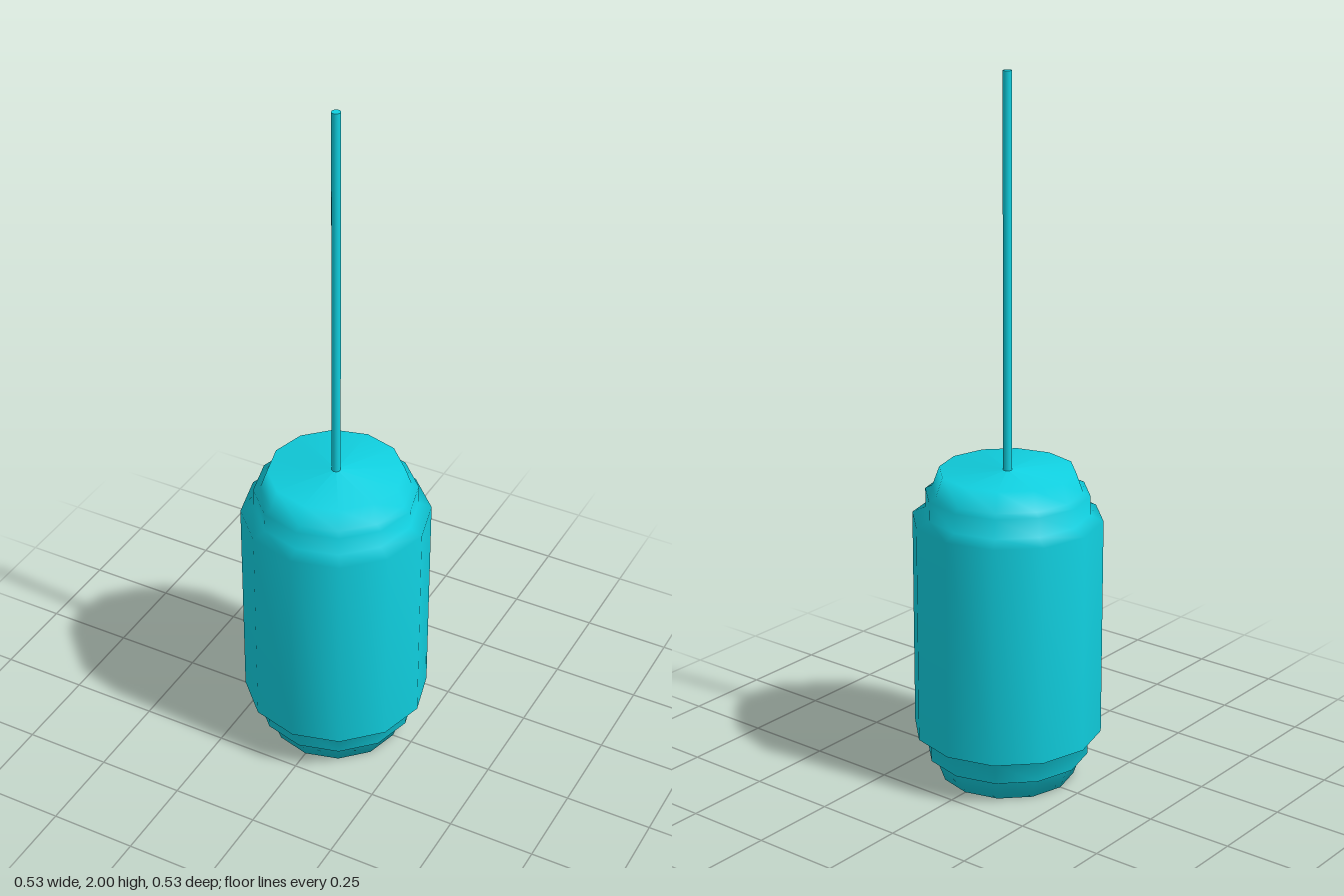
import * as THREE from 'three';

export function createModel() {
  const group = new THREE.Group();
  const material = new THREE.MeshStandardMaterial({ color: 0x10d0e0 });

  // Twelve-sided canister: stepped profile, the same at both ends
  const lower = [[0, 0], [0.19, 0], [0.21, 0.055], [0.23, 0.065], [0.23, 0.12], [0.267, 0.137]];
  const height = 0.905;
  const upper = lower.map(([r, y]) => [r, height - y]).reverse();
  const profile = [...lower, ...upper].map(([r, y]) => new THREE.Vector2(r, y));
  const bodyGeometry = new THREE.LatheGeometry(profile, 12);

  // Carry the rim normals to the cap centres so the ends shade softly
  const normal = bodyGeometry.attributes.normal;
  const n = profile.length;
  const copyNormal = (to, from) =>
    normal.setXYZ(to, normal.getX(from), normal.getY(from), normal.getZ(from));
  for (let i = 0; i < normal.count; i += n) {
    copyNormal(i, i + 1);
    copyNormal(i + n - 1, i + n - 2);
  }
  const body = new THREE.Mesh(bodyGeometry, material);
  body.name = 'body';
  group.add(body);

  // Thin rod rising from the middle of the top
  const rodBottom = 0.89;
  const rod = new THREE.Mesh(
    new THREE.CylinderGeometry(0.0125, 0.0125, 2 - rodBottom, 16), material);
  rod.position.y = (2 + rodBottom) / 2;
  rod.name = 'rod';
  group.add(rod);

  return group;
}
